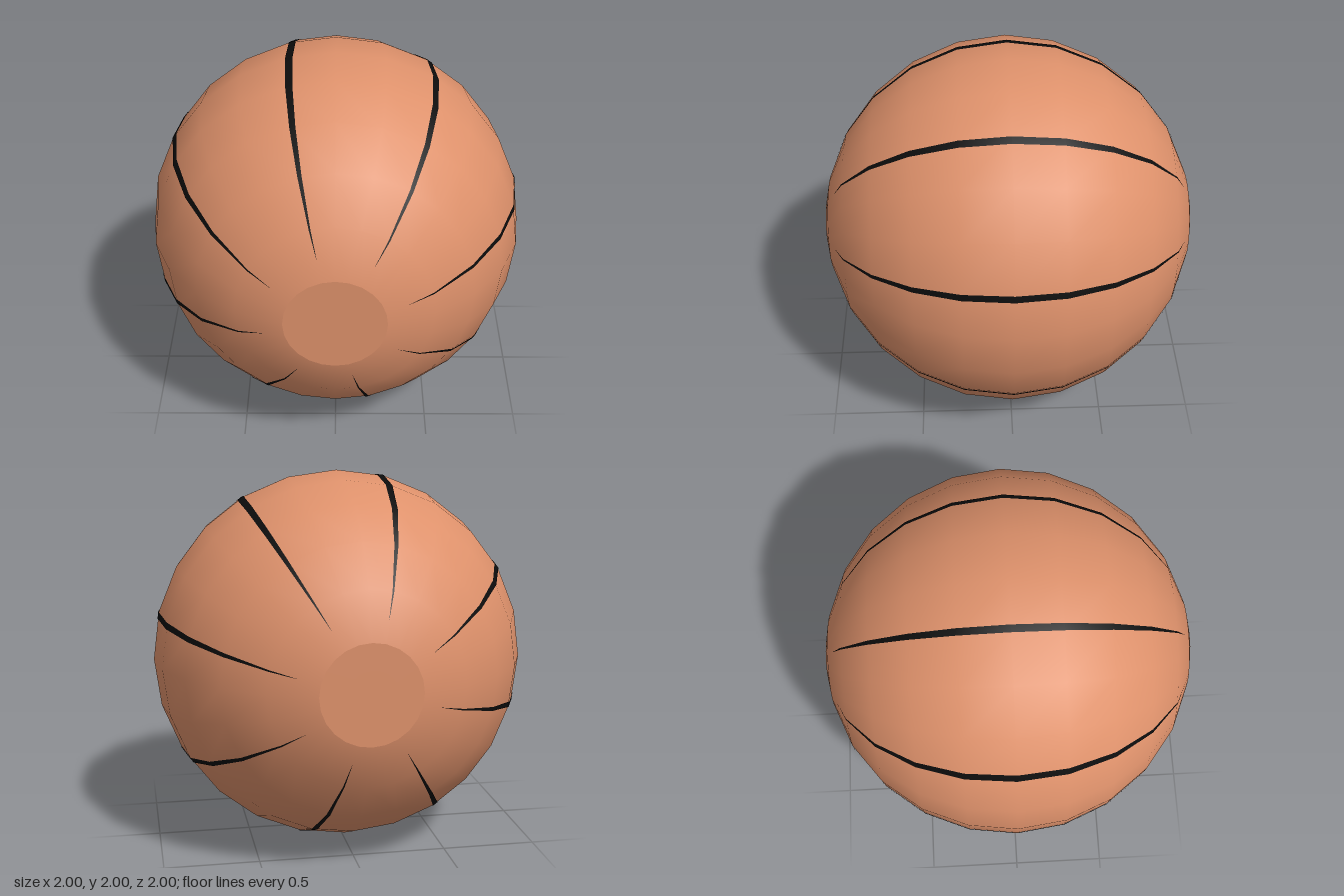
import * as THREE from 'three';

const STEP = Math.PI / 12; // angle of one facet
const skin = new THREE.MeshStandardMaterial({ color: 0xde916b });
skin.name = 'orange skin';
const ink = new THREE.MeshStandardMaterial({ color: 0x0c0c0c, side: THREE.DoubleSide });
ink.name = 'black seam';

// Distance of a 24-sided unit polygon's edge from its centre at an angle
const facetRadius = (a) => {
  const d = a - Math.floor(a / STEP) * STEP;
  return Math.cos(STEP / 2) / Math.cos(d - STEP / 2);
};

// Tapered strip lying on the ball from near one pole to near the other
function seamGeometry(angle) {
  const start = 0.38;
  const thetas = [start];
  for (let i = 2; i <= 10; i++) thetas.push(i * STEP);
  thetas.push(Math.PI - start);
  const pos = [], nor = [], idx = [];
  thetas.forEach((t, i) => {
    const k = facetRadius(t);
    const r = k * Math.sin(t), z = k * Math.cos(t);
    const half = Math.max(0.0005, 0.019 * (r - 0.36) / 0.64);
    for (const s of [-1, 1]) {
      const a = angle + s * half / r;
      const q = r * facetRadius(a) * 1.003;
      const p = new THREE.Vector3(q * Math.cos(a), q * Math.sin(a), z * 1.003);
      pos.push(p.x, p.y, p.z);
      p.normalize();
      nor.push(p.x, p.y, p.z);
    }
    if (i) {
      const b = 2 * i;
      idx.push(b - 2, b, b - 1, b - 1, b, b + 1);
    }
  });
  const g = new THREE.BufferGeometry();
  g.setAttribute('position', new THREE.Float32BufferAttribute(pos, 3));
  g.setAttribute('normal', new THREE.Float32BufferAttribute(nor, 3));
  g.setIndex(idx);
  return g;
}

export function createModel() {
  const ball = new THREE.Group();
  ball.name = 'ball';
  const add = (geometry, material, name) => {
    const mesh = new THREE.Mesh(geometry, material);
    mesh.name = name;
    mesh.position.y = 1;
    ball.add(mesh);
  };

  // Smooth body with its poles at front and back
  const body = new THREE.SphereGeometry(1, 24, 10, 0, Math.PI * 2, STEP, Math.PI - 2 * STEP);
  add(body.rotateX(Math.PI / 2), skin, 'body');

  // Shallow pole caps, shaded as flat discs
  for (const side of [1, -1]) {
    const cap = new THREE.SphereGeometry(1, 24, 1, 0, Math.PI * 2, 0, STEP);
    const n = cap.attributes.normal;
    for (let i = 0; i < n.count; i++) n.setXYZ(i, 0, 1, 0);
    add(cap.rotateX(side * Math.PI / 2), skin, side > 0 ? 'frontCap' : 'backCap');
  }

  // Eight evenly spaced seams
  for (let i = 0; i < 8; i++) {
    add(seamGeometry(THREE.MathUtils.degToRad(13.9 + 45 * i)), ink, 'seam' + (i + 1));
  }
  return ball;
}
